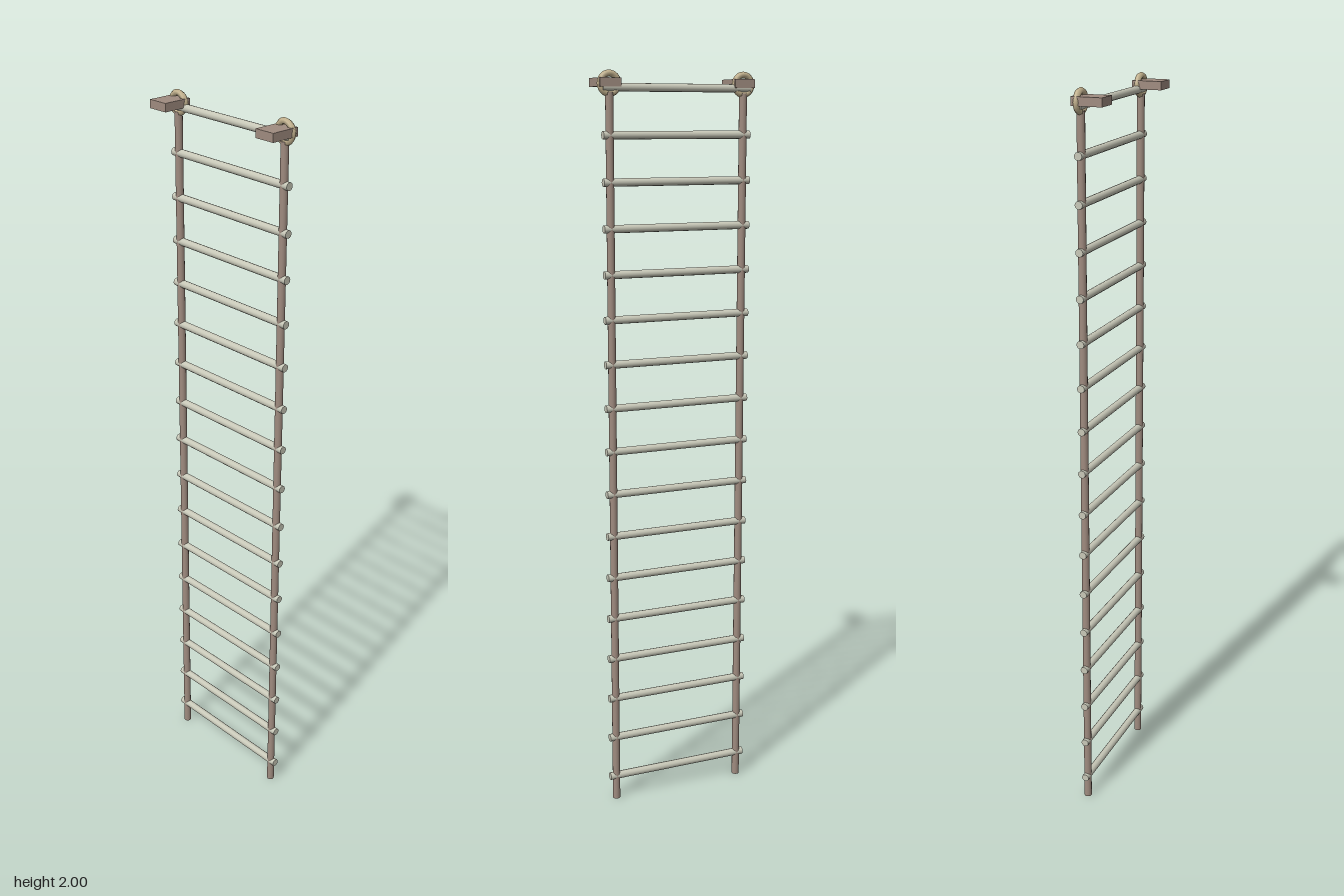
import * as THREE from 'three';

export function createModel() {
  const group = new THREE.Group();
  const mat = (name, color) => {
    const m = new THREE.MeshStandardMaterial({ color });
    m.name = name;
    return m;
  };
  const brown = mat('brown wood', 0xa08c80);
  const pale = mat('pale rung', 0xc8c8b8);
  const tan = mat('tan rope', 0xc4b38f);
  const railX = 0.188, planeZ = -0.028;

  const add = (name, geometry, material, x, y, z) => {
    const mesh = new THREE.Mesh(geometry, material);
    mesh.name = name;
    mesh.position.set(x, y, z);
    group.add(mesh);
    return mesh;
  };

  // Side rails, hanging loops and top brackets
  const railGeo = new THREE.CylinderGeometry(0.0105, 0.0105, 1.945, 12);
  const loopGeo = new THREE.TorusGeometry(0.0248, 0.0085, 6, 24);
  const bracketGeo = new THREE.BoxGeometry(0.058, 0.022, 0.081);
  for (const side of [-1, 1]) {
    const label = side > 0 ? 'left' : 'right';
    add(label + 'Rail', railGeo, brown, side * railX, 0.9725, planeZ);
    add(label + 'Loop', loopGeo, tan, side * railX, 1.967, planeZ);
    add(label + 'Bracket', bracketGeo, brown, side * railX, 1.97, 0);
  }

  // Seventeen evenly spaced rungs that poke through the rails
  const rungGeo = new THREE.CylinderGeometry(0.0105, 0.0105, 0.414, 12);
  rungGeo.rotateZ(Math.PI / 2);
  for (let i = 0; i < 17; i++) {
    add('rung' + (i + 1), rungGeo, pale, 0, 0.068 + i * 0.1181, planeZ);
  }
  return group;
}
